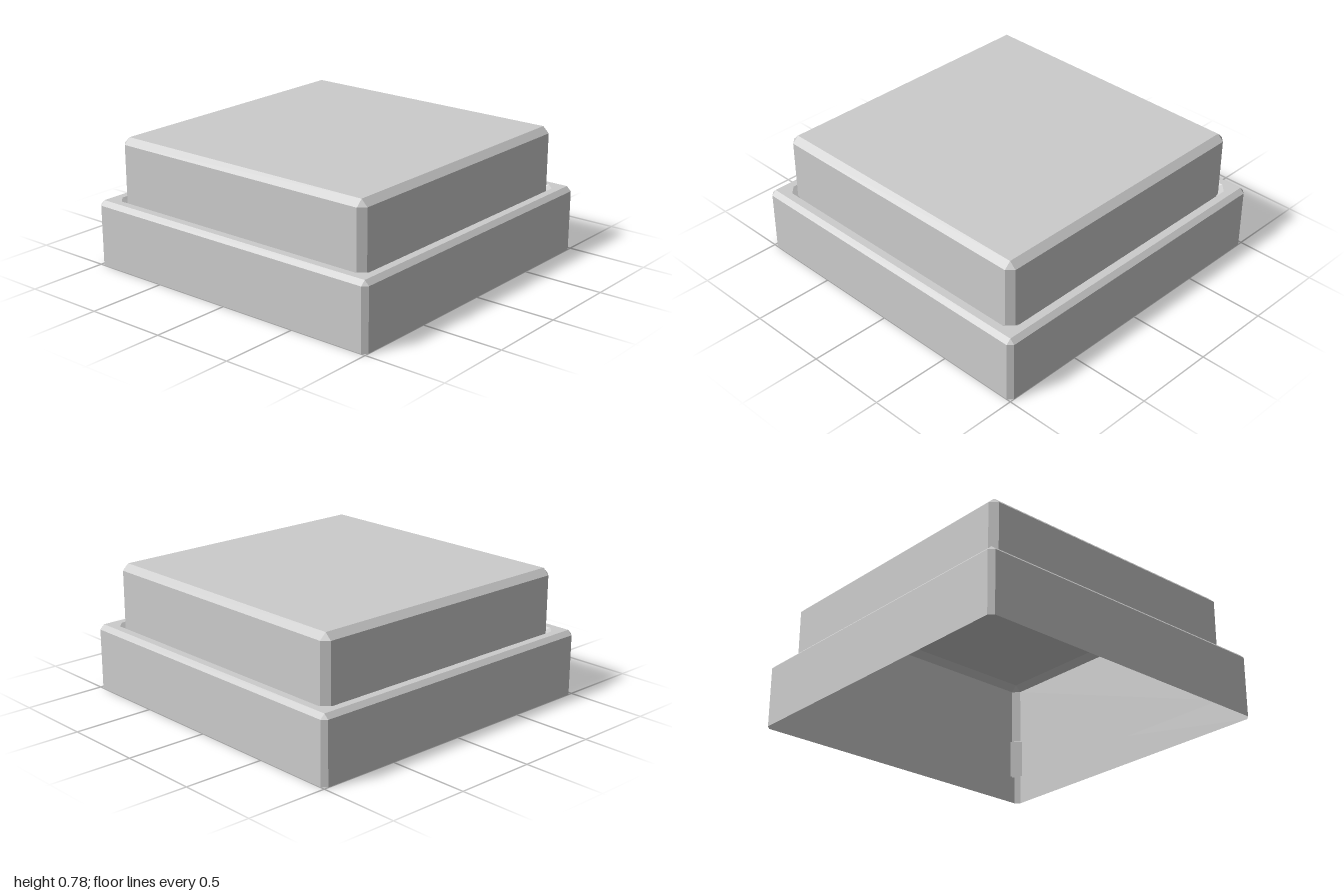
import * as THREE from 'three';

const material = new THREE.MeshStandardMaterial({
  color: 0xcccccc, flatShading: true, side: THREE.DoubleSide,
});

// Square of half width h with corners cut by c, at height y
function ring([h, c, y]) {
  const k = h - c;
  return [[h, -k], [h, k], [k, h], [-k, h], [-h, k], [-h, -k], [-k, -h], [k, -h]]
    .map(([x, z]) => new THREE.Vector3(x, y, z));
}

// Skin the rings one after the other, skipping collapsed triangles
function loft(name, sections) {
  const rings = sections.map(ring);
  const points = [];
  const triangle = (a, b, c) => {
    if (new THREE.Triangle(a, b, c).getArea() > 1e-7) points.push(a, b, c);
  };
  for (let r = 0; r < rings.length - 1; r++) {
    const low = rings[r], high = rings[r + 1];
    for (let i = 0; i < 8; i++) {
      const j = (i + 1) % 8;
      triangle(low[i], high[i], low[j]);
      triangle(low[j], high[i], high[j]);
    }
  }
  const geometry = new THREE.BufferGeometry().setFromPoints(points);
  geometry.computeVertexNormals();
  const mesh = new THREE.Mesh(geometry, material);
  mesh.name = name;
  return mesh;
}

export function createModel() {
  const model = new THREE.Group();
  model.name = 'pushButton';

  // Housing: outer wall, bevelled rim, and inner wall hanging from the opening
  model.add(loft('housing', [
    [1, 0.028, 0],
    [1, 0.028, 0.373],
    [0.972, 0, 0.4],
    [0.925, 0.05, 0.4],
    [0.902, 0.065, 0.373],
    [0.902, 0.065, 0.13],
  ]));

  // Cap: open-bottomed shell with chamfered edges and a flat top
  model.add(loft('cap', [
    [0.897, 0.039, 0.125],
    [0.897, 0.039, 0.741],
    [0.858, 0, 0.779],
    [0, 0, 0.779],
  ]));

  return model;
}
